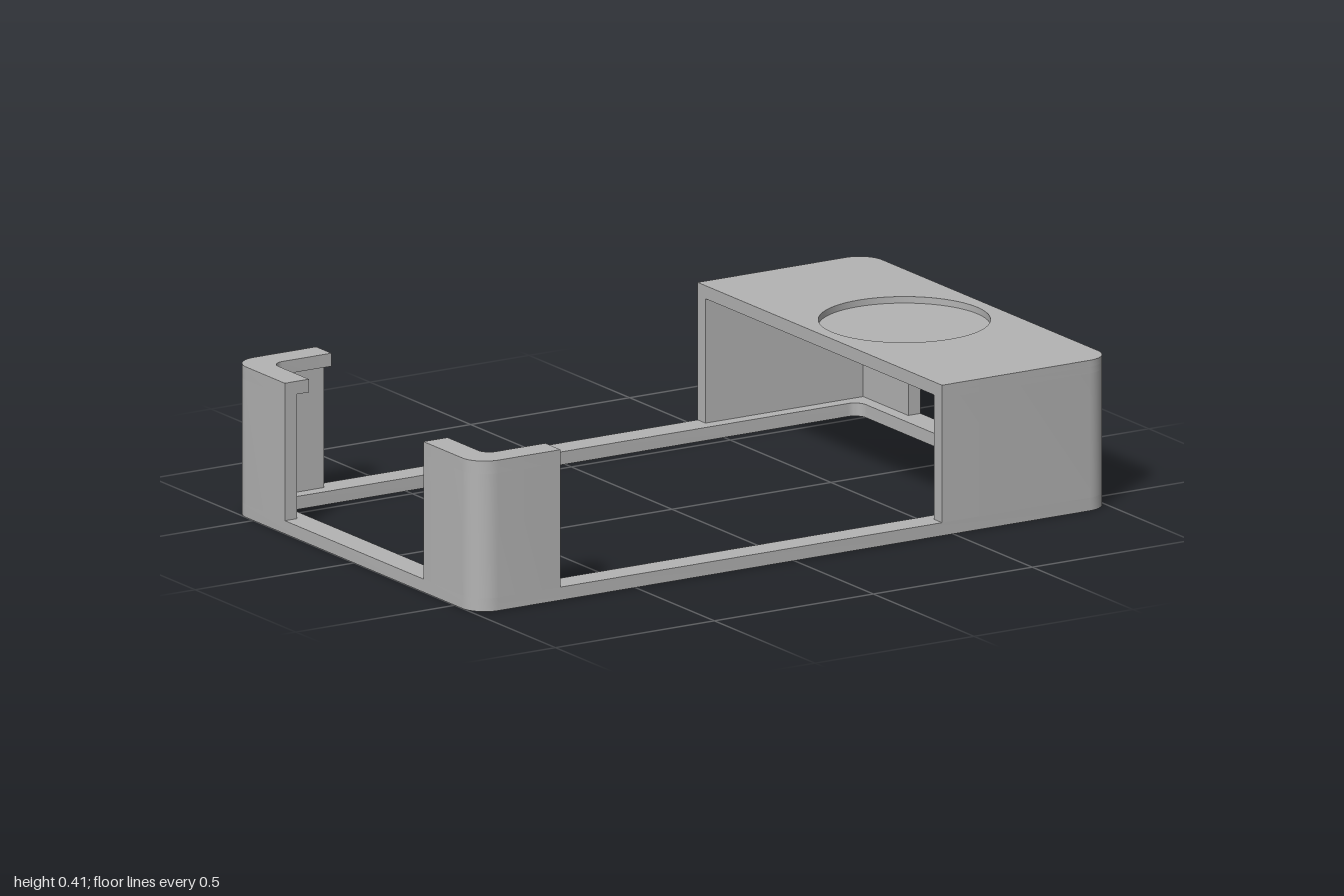
import * as THREE from 'three';
import { toCreasedNormals } from 'three/addons/utils/BufferGeometryUtils.js';

const HX = 1, HZ = 0.607;            // half footprint
const H = 0.415, T = 0.036;          // height, plate thickness
const RIM = 0.076, WALL = 0.039;     // rim and wall widths
const R = 0.07, RI = 0.035;          // outer and inner corner radii
const GAP = 0.344;                   // half width of the end openings
const POST_X = -0.735, BLOCK_X = 0.465;

// Rounded quarter arc at corner (sx, sz), running from the x side to the z side
function arc(sx, sz, x, z, r) {
  if (r === 0) return [new THREE.Vector2(sx * x, sz * z)];
  const pts = [];
  for (let i = 0; i <= 10; i++) {
    const a = (i / 10) * Math.PI / 2;
    pts.push(new THREE.Vector2(sx * (x - r + r * Math.cos(a)), sz * (z - r + r * Math.sin(a))));
  }
  return pts;
}

function roundedRect(x, z, r) {
  return [
    ...arc(1, 1, x, z, r), ...arc(-1, 1, x, z, r).reverse(),
    ...arc(-1, -1, x, z, r), ...arc(1, -1, x, z, r).reverse(),
  ];
}

// L-shaped outline wrapping one corner
function cornerShape(sx, sz, xEnd, width, innerRadius) {
  return new THREE.Shape([
    new THREE.Vector2(sx * HX, sz * GAP),
    ...arc(sx, sz, HX, HZ, R),
    new THREE.Vector2(xEnd, sz * HZ),
    new THREE.Vector2(xEnd, sz * (HZ - width)),
    ...arc(sx, sz, HX - width, HZ - width, innerRadius).reverse(),
    new THREE.Vector2(sx * (HX - width), sz * GAP),
  ]);
}

export function createModel() {
  const group = new THREE.Group();
  group.name = 'deviceBracket';
  const grey = new THREE.MeshStandardMaterial({ color: 0xb4b4b4 });
  grey.name = 'grey plastic';

  // Upright extrusion of a plan outline between two heights
  function slab(name, shape, y0, y1) {
    let geo = new THREE.ExtrudeGeometry(shape, { depth: y1 - y0, bevelEnabled: false, curveSegments: 48 });
    geo.rotateX(-Math.PI / 2).translate(0, y0, 0);
    geo = toCreasedNormals(geo, 0.6);
    const mesh = new THREE.Mesh(geo, grey);
    mesh.name = name;
    group.add(mesh);
  }

  // Base frame
  const base = new THREE.Shape(roundedRect(HX, HZ, R));
  base.holes.push(new THREE.Path(roundedRect(HX - RIM, HZ - RIM, RI)));
  slab('baseFrame', base, 0, T);

  for (const s of [1, -1]) {
    const side = s > 0 ? 'Back' : 'Front';
    // Corner posts with an inward lip
    slab('cornerPost' + side, cornerShape(-1, s, POST_X, WALL, 0), T, H - T);
    slab('cornerLip' + side, cornerShape(-1, s, POST_X, RIM, RI), H - T, H);
    // Side walls of the covered end
    slab('coverWall' + side, cornerShape(1, s, BLOCK_X, WALL, 0), T, H - T);
  }

  // Cover plate with a shallow round recess
  const plate = () => new THREE.Shape([
    new THREE.Vector2(BLOCK_X, -HZ),
    ...arc(1, -1, HX, HZ, R).reverse(),
    ...arc(1, 1, HX, HZ, R),
    new THREE.Vector2(BLOCK_X, HZ),
  ]);
  const recessFloor = H - 0.018;
  slab('coverPlate', plate(), H - T, recessFloor);
  const top = plate();
  top.holes.push(new THREE.Path().absarc(0.731, 0, 0.229, 0, Math.PI * 2, true));
  slab('coverRecessRim', top, recessFloor, H);

  return group;
}
